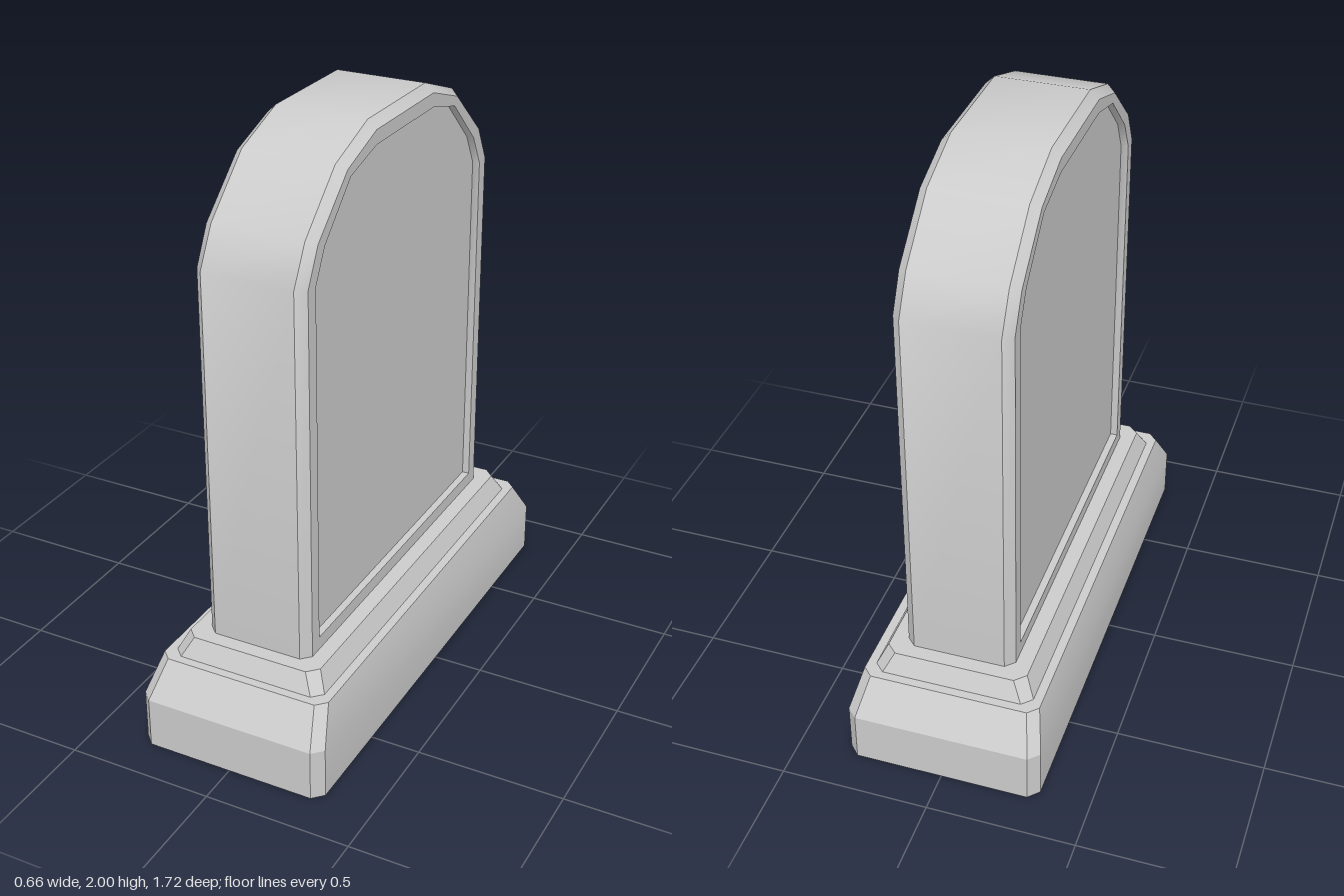
import * as THREE from 'three';
import { toCreasedNormals } from 'three/addons/utils/BufferGeometryUtils.js';

const stone = new THREE.MeshStandardMaterial({ color: 0xcccccc, side: THREE.DoubleSide });

// Joins neighbouring rings of equal length; closed(k) tells if strip k wraps round.
function loft(rings, closed, caps = false) {
  const pos = [];
  const tri = (...pts) => pts.forEach((p) => pos.push(...p));
  for (let k = 0; k + 1 < rings.length; k++) {
    const a = rings[k], b = rings[k + 1], n = a.length;
    for (let i = 0; i < (closed(k) ? n : n - 1); i++) {
      const j = (i + 1) % n;
      tri(a[i], b[i], b[j]);
      tri(a[i], b[j], a[j]);
    }
  }
  if (caps) {
    const a = rings[0], b = rings[rings.length - 1];
    for (let i = 1; i + 1 < a.length; i++) {
      tri(a[0], a[i], a[i + 1]);
      tri(b[0], b[i + 1], b[i]);
    }
  }
  const geo = new THREE.BufferGeometry();
  geo.setAttribute('position', new THREE.Float32BufferAttribute(pos, 3));
  return toCreasedNormals(geo, 0.56);
}

// Rectangle with cut corners at height y
function cutRect(y, hx, hz, c) {
  return [
    [hx, -hz + c], [hx, hz - c], [hx - c, hz], [-hx + c, hz],
    [-hx, hz - c], [-hx, -hz + c], [-hx + c, -hz], [hx - c, -hz],
  ].map(([x, z]) => [x, y, z]);
}

// Arch outline at depth x, mirrored from half a profile of [z, y]
function arch(x, half) {
  const other = half.map(([z, y]) => [-z, y]).reverse();
  return [...half, ...other].map(([z, y]) => [x, y, z]);
}

function mesh(name, geometry) {
  const m = new THREE.Mesh(geometry, stone);
  m.name = name;
  return m;
}

export function createModel() {
  const group = new THREE.Group();
  group.name = 'headstone';

  // Hollow stepped plinth, open underneath and where the slab rises
  group.add(mesh('plinth', loft([
    cutRect(0, 0.33, 0.86, 0.035),
    cutRect(0.175, 0.33, 0.86, 0.035),
    cutRect(0.295, 0.3, 0.777, 0.033),
    cutRect(0.295, 0.27, 0.747, 0.033),
    cutRect(0.36, 0.238, 0.715, 0.035),
    cutRect(0.36, 0.185, 0.664, 0.03),
  ], () => true)));

  // Arched slab: rim, chamfer, flat border and recessed panel on both faces
  const rim = [[0.664, 0.36], [0.664, 1.627], [0.594, 1.755], [0.408, 1.925], [0.2, 2]];
  const bevel = [[0.634, 0.36], [0.634, 1.623], [0.572, 1.742], [0.386, 1.908], [0.2, 1.972]];
  const panel = [[0.587, 0.405], [0.587, 1.617], [0.53, 1.724], [0.366, 1.881], [0.2, 1.925]];
  const layers = [[0.155, rim], [0.185, bevel], [0.185, panel], [0.16, panel]];
  const rings = [
    ...layers.map(([x, half]) => arch(-x, half)).reverse(),
    ...layers.map(([x, half]) => arch(x, half)),
  ];
  // Rim and chamfers stay open at the foot
  group.add(mesh('slab', loft(rings, (k) => k < 2 || k > 4, true)));

  return group;
}
